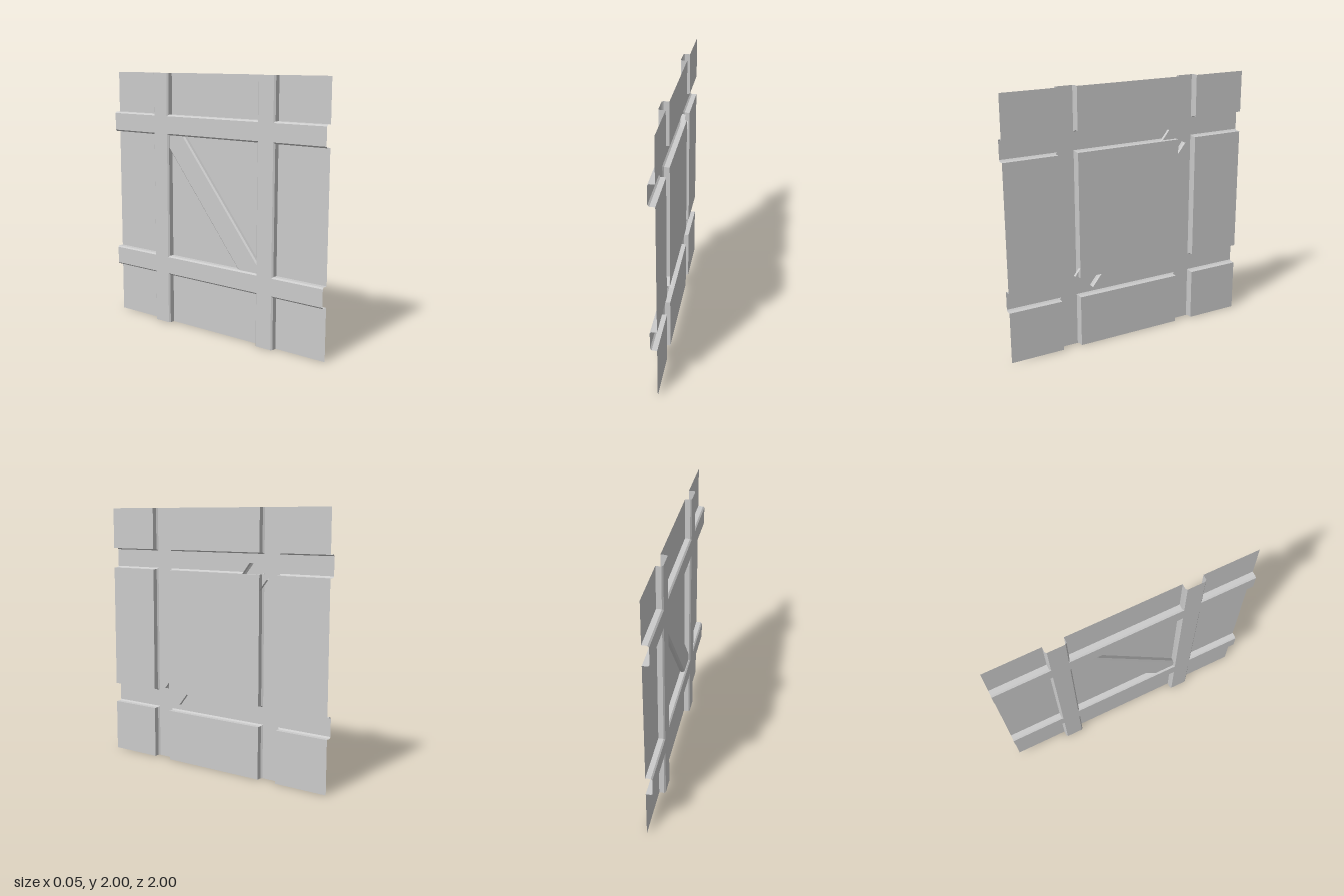
import * as THREE from 'three';

const BACK = 0.024, SHOULDER = -0.015, FACE = -0.026, BEVEL = 0.011;
const zs = [-1, -0.578, -0.425, 0.425, 0.578, 1];
const ys = [0, 0.401, 0.556, 1.522, 1.68, 2];

const material = new THREE.MeshStandardMaterial({ color: 0xcccccc, flatShading: true, side: THREE.DoubleSide });

// Collects four-cornered faces, each turned to look along a given direction
class Sheet {
  constructor() { this.positions = []; }
  quad(a, b, c, d, facing) {
    const [p, q, r, s] = [a, b, c, d].map(v => new THREE.Vector3(...v));
    const n = q.clone().sub(p).cross(r.clone().sub(p));
    const order = n.dot(new THREE.Vector3(...facing)) >= 0 ? [p, q, r, p, r, s] : [p, r, q, p, s, r];
    order.forEach(v => this.positions.push(v.x, v.y, v.z));
  }
  rect(x, z0, z1, y0, y1) {
    this.quad([x, y0, z0], [x, y0, z1], [x, y1, z1], [x, y1, z0], [-1, 0, 0]);
  }
  mesh(name) {
    const geometry = new THREE.BufferGeometry();
    geometry.setAttribute('position', new THREE.Float32BufferAttribute(this.positions, 3));
    geometry.computeVertexNormals();
    const mesh = new THREE.Mesh(geometry, material);
    mesh.name = name;
    return mesh;
  }
}

// Corners of a panel outline at depth x, grown by g only on edges that meet a beam
function outline(x, i, j, g) {
  const z0 = zs[i] - (i > 0 ? g : 0), z1 = zs[i + 1] + (i < 4 ? g : 0);
  const y0 = ys[j] - (j > 0 ? g : 0), y1 = ys[j + 1] + (j < 4 ? g : 0);
  return [[x, y0, z0], [x, y0, z1], [x, y1, z1], [x, y1, z0]];
}

export function createModel() {
  const group = new THREE.Group();
  group.name = 'framedWallPanel';

  // Nine flat infill panels, and the beam sides that rise around them
  const panels = new Sheet(), beamSides = new Sheet();
  for (const i of [0, 2, 4]) for (const j of [0, 2, 4]) {
    panels.rect(BACK, zs[i], zs[i + 1], ys[j], ys[j + 1]);
    const levels = [outline(BACK, i, j, 0), outline(SHOULDER, i, j, 0), outline(FACE, i, j, BEVEL)];
    const meetsBeam = [j > 0, i < 4, j < 4, i > 0];
    const inward = [[0, 1, 0], [0, 0, -1], [0, -1, 0], [0, 0, 1]];
    for (let l = 0; l < 2; l++) for (let e = 0; e < 4; e++) {
      if (!meetsBeam[e]) continue;
      const f = (e + 1) % 4, lo = levels[l], hi = levels[l + 1];
      beamSides.quad(lo[e], lo[f], hi[f], hi[e], inward[e]);
    }
  }

  // Beam faces: two full-length rails, with the posts filling in between
  const rails = new Sheet(), posts = new Sheet();
  for (const j of [1, 3]) rails.rect(FACE, -1, 1, ys[j] + BEVEL, ys[j + 1] - BEVEL);
  for (const i of [1, 3]) for (const j of [0, 2, 4]) {
    const y0 = ys[j] - (j > 0 ? BEVEL : 0), y1 = ys[j + 1] + (j < 4 ? BEVEL : 0);
    posts.rect(FACE, zs[i] + BEVEL, zs[i + 1] - BEVEL, y0, y1);
  }

  // Diagonal brace: an open-ended channel with bevelled edges, built upright then tilted
  const brace = new Sheet();
  const half = 0.0935, reach = 0.6535, braceFace = -0.011, braceShoulder = 0;
  const profile = [[BACK, -half], [braceShoulder, -half], [braceFace, -half + BEVEL],
    [braceFace, half - BEVEL], [braceShoulder, half], [BACK, half]];
  for (let k = 0; k < 5; k++) {
    const [xa, za] = profile[k], [xb, zb] = profile[k + 1];
    brace.quad([xa, -reach, za], [xb, -reach, zb], [xb, reach, zb], [xa, reach, za], [-0.1, 0, za + zb]);
  }
  const braceMesh = brace.mesh('diagonalBrace');
  braceMesh.position.set(0, 1.0335, -0.0095);
  braceMesh.rotation.x = -Math.atan2(0.81, 1.026);

  group.add(panels.mesh('infillPanels'), beamSides.mesh('beamSides'),
    rails.mesh('horizontalBeams'), posts.mesh('verticalBeams'), braceMesh);
  return group;
}
